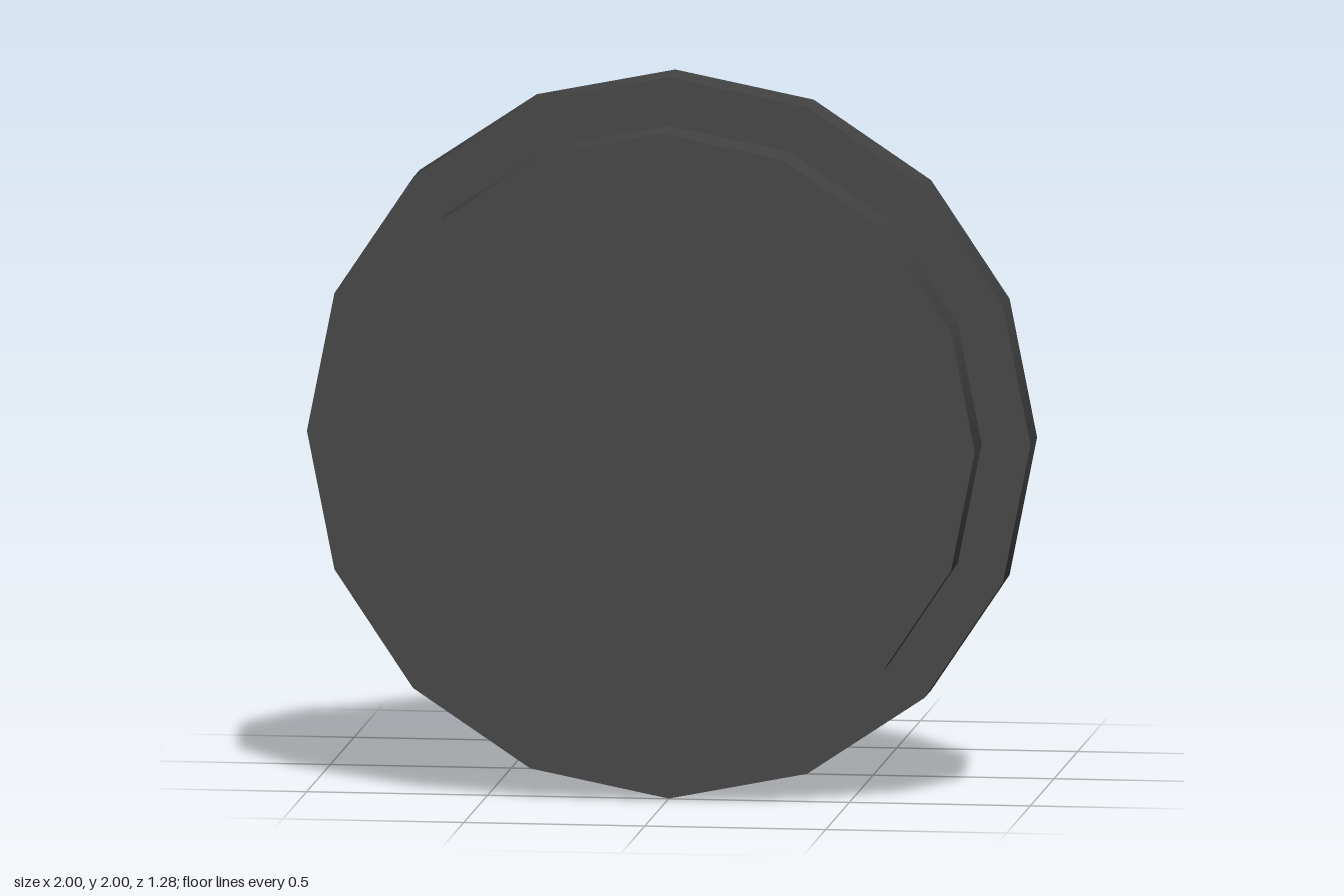
import * as THREE from 'three';

export function createModel() {
  const group = new THREE.Group();
  const dark = new THREE.MeshStandardMaterial({ color: 0x444444 });
  dark.name = 'dark grey';
  const metal = new THREE.MeshStandardMaterial({ color: 0x808080, side: THREE.DoubleSide });
  metal.name = 'mid grey';

  // Sixteen-sided disc lying along z, from zBack to zFront
  function disc(name, rFront, rBack, zBack, zFront, openEnded = false) {
    const geo = new THREE.CylinderGeometry(rFront, rBack, zFront - zBack, 16, 1, openEnded);
    geo.rotateX(Math.PI / 2);
    const mesh = new THREE.Mesh(geo, dark);
    mesh.name = name;
    mesh.position.set(0, 1, (zFront + zBack) / 2);
    group.add(mesh);
  }

  disc('housing', 0.865, 0.865, 0.205, 0.64);
  disc('rim', 1, 1, 0.355, 0.495);
  disc('taperedBack', 0.865, 0.655, -0.125, 0.205);

  // Open pipe sloping down out of the back; its inner end is inside the housing
  const tilt = 0.38, length = 0.7;
  const pipe = new THREE.Mesh(new THREE.CylinderGeometry(0.215, 0.215, length, 12, 1, true), metal);
  pipe.name = 'pipe';
  pipe.rotation.x = -(Math.PI / 2 + tilt);
  pipe.position.set(0, 0.66 + Math.sin(tilt) * length / 2, -0.56 + Math.cos(tilt) * length / 2);
  group.add(pipe);

  return group;
}
